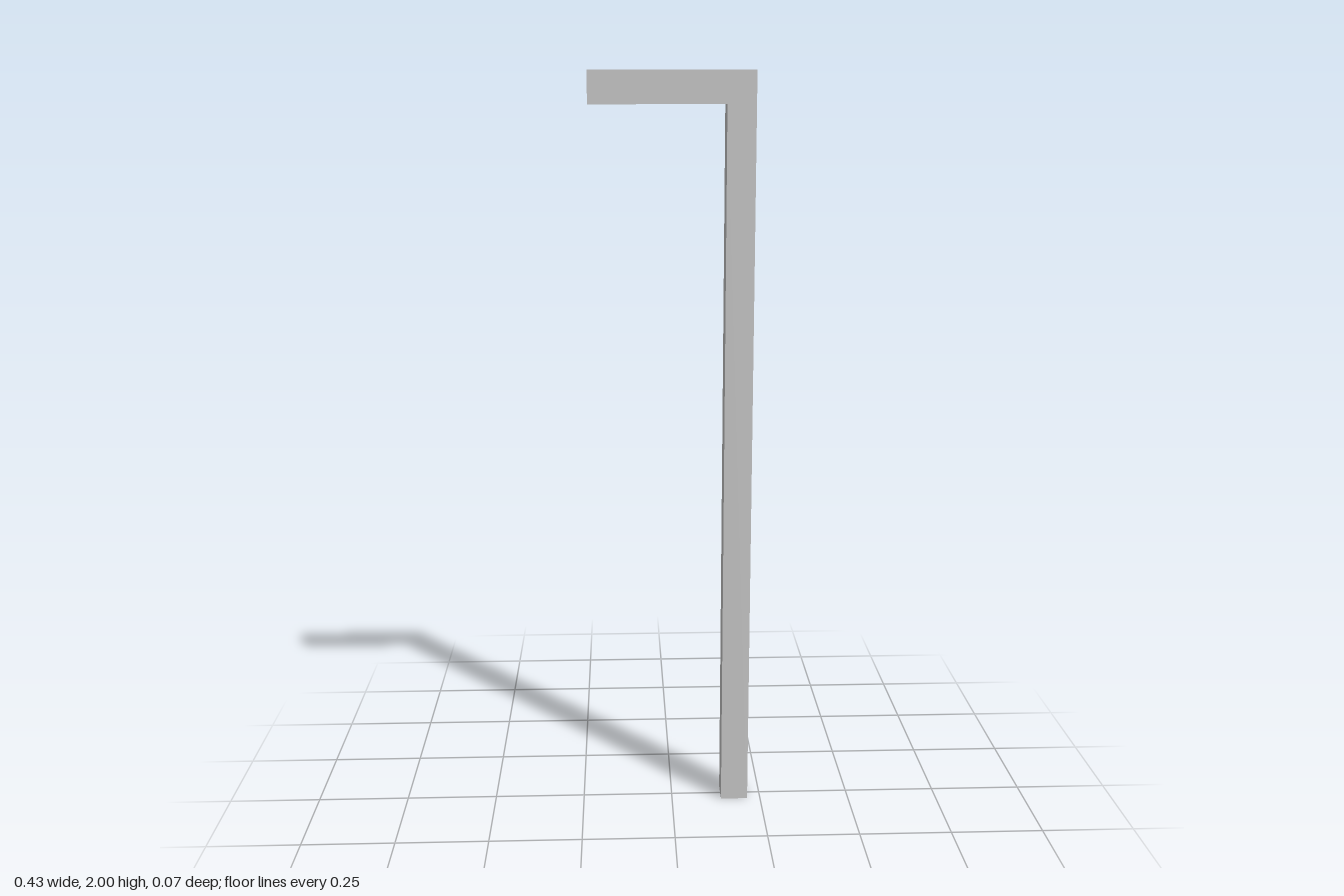
import * as THREE from 'three';

export function createModel() {
  const group = new THREE.Group();
  group.name = 'angledPost';

  const halfWidth = 0.2135, height = 2, depth = 0.073;
  const postInner = 0.139, armBottom = 1.916;

  // L-shaped outline: upright post with an arm reaching to the right
  const outline = new THREE.Shape([
    [postInner, 0],
    [halfWidth, 0],
    [halfWidth, height],
    [-halfWidth, height],
    [-halfWidth, armBottom],
    [postInner, armBottom],
  ].map(([x, y]) => new THREE.Vector2(x, y)));

  const geometry = new THREE.ExtrudeGeometry(outline, { depth, bevelEnabled: false });
  geometry.translate(0, 0, -depth / 2);

  const post = new THREE.Mesh(
    geometry,
    new THREE.MeshStandardMaterial({ color: 0xcccccc, flatShading: true })
  );
  post.name = 'postWithArm';
  group.add(post);

  return group;
}
